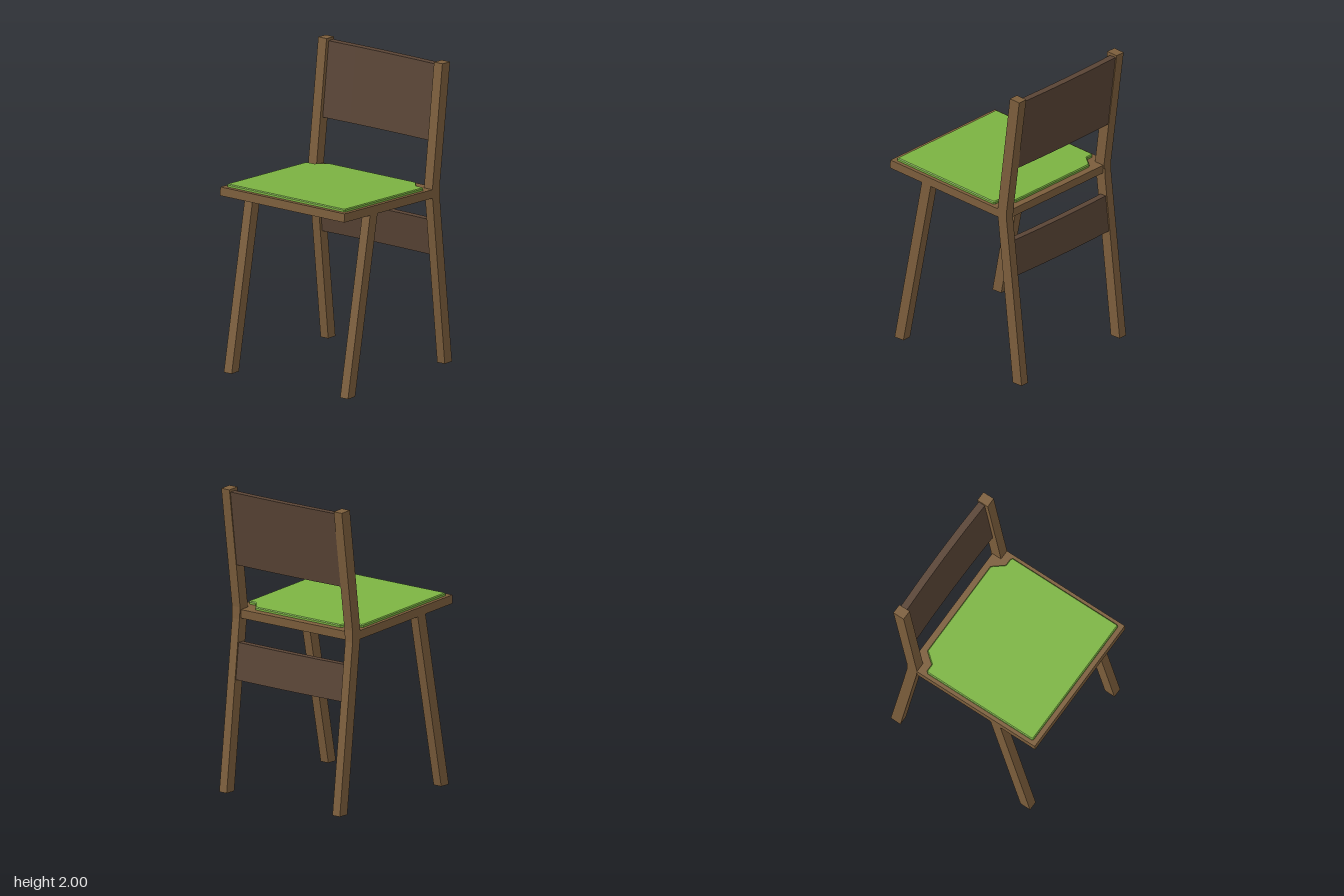
import * as THREE from 'three';

const wood = new THREE.MeshStandardMaterial({ color: 0x7c5e3c });
wood.name = 'wood';
const darkWood = new THREE.MeshStandardMaterial({ color: 0x594435 });
darkWood.name = 'darkWood';
const green = new THREE.MeshStandardMaterial({ color: 0x7cb342 });
green.name = 'greenFabric';

const shapeOf = (points) => new THREE.Shape(points.map(([a, b]) => new THREE.Vector2(a, b)));

// Timber with a side profile of [z, y] points, made once for each side of the chair
function addTimberPair(group, name, profile, width) {
  for (const side of [1, -1]) {
    const geometry = new THREE.ExtrudeGeometry(shapeOf(profile), { depth: width, bevelEnabled: false });
    geometry.rotateY(-Math.PI / 2);
    geometry.translate(side > 0 ? 0.5 : width - 0.5, 0, 0);
    const mesh = new THREE.Mesh(geometry, wood);
    mesh.name = (side > 0 ? 'left' : 'right') + name;
    group.add(mesh);
  }
}

// Flat slab from one half of its outline, [x, z] points running front to back
function slab(half, options) {
  const mirrored = half.map(([x, z]) => [-x, z]).reverse();
  const outline = [...half, ...mirrored].map(([x, z]) => [x, -z]);
  return new THREE.ExtrudeGeometry(shapeOf(outline), options).rotateX(-Math.PI / 2);
}

// Leaning board, bowed gently backwards; slope is the change of z per unit of y
function board(name, width, y0, y1, zBottom, slope, thickness) {
  const box = new THREE.BoxGeometry(width, y1 - y0, thickness, 4, 1, 1);
  const p = box.attributes.position;
  const half = width / 2;
  for (let i = 0; i < p.count; i++) {
    const up = p.getY(i) + (y1 - y0) / 2;
    const bow = 0.008 * (1 - (p.getX(i) / half) ** 2);
    p.setZ(i, p.getZ(i) + zBottom - thickness / 2 + slope * up - bow);
    p.setY(i, y0 + up);
  }
  const geometry = box.toNonIndexed();
  geometry.computeVertexNormals();
  const mesh = new THREE.Mesh(geometry, darkWood);
  mesh.name = name;
  return mesh;
}

export function createModel() {
  const chair = new THREE.Group();
  chair.name = 'chair';

  // Legs and back posts
  addTimberPair(chair, 'FrontLeg', [[0.45, 0], [0.525, 0], [0.291, 1.18], [0.213, 1.18]], 0.063);
  addTimberPair(chair, 'BackLeg', [[-0.56, 0], [-0.485, 0], [-0.358, 1.13], [-0.358, 1.16], [-0.433, 1.16], [-0.433, 1.12]], 0.061);
  addTimberPair(chair, 'BackPost', [[-0.433, 1.16], [-0.358, 1.16], [-0.356, 1.19], [-0.46, 2], [-0.54, 1.995], [-0.433, 1.2]], 0.067);

  // Tilted seat: a board notched around the posts, with a thin bevelled cushion
  const seat = new THREE.Group();
  seat.name = 'seat';
  seat.rotation.x = -0.057;
  seat.position.y = 1.208;
  const seatBoard = new THREE.Mesh(
    slab([[0.5, 0.562], [0.5, -0.36], [0.436, -0.36], [0.436, -0.425]], { depth: 0.057, bevelEnabled: false }), wood);
  seatBoard.name = 'seatBoard';
  seatBoard.position.y = -0.057;
  const cushion = new THREE.Mesh(
    slab([[0.468, 0.53], [0.475, 0.522], [0.475, -0.292], [0.463, -0.303], [0.412, -0.303], [0.35, -0.38]], {
      depth: 0.016, bevelThickness: 0.006, bevelSize: 0.006, bevelOffset: -0.006, bevelSegments: 1,
    }), green);
  cushion.name = 'cushion';
  cushion.position.y = -0.003;
  seat.add(seatBoard, cushion);
  chair.add(seat);

  // Backrest and the lower rail between the back legs
  chair.add(board('backrest', 0.868, 1.487, 1.98, -0.42, -0.128, 0.047));
  chair.add(board('lowerRail', 0.88, 0.73, 0.97, -0.423, 0.112, 0.045));

  return chair;
}
